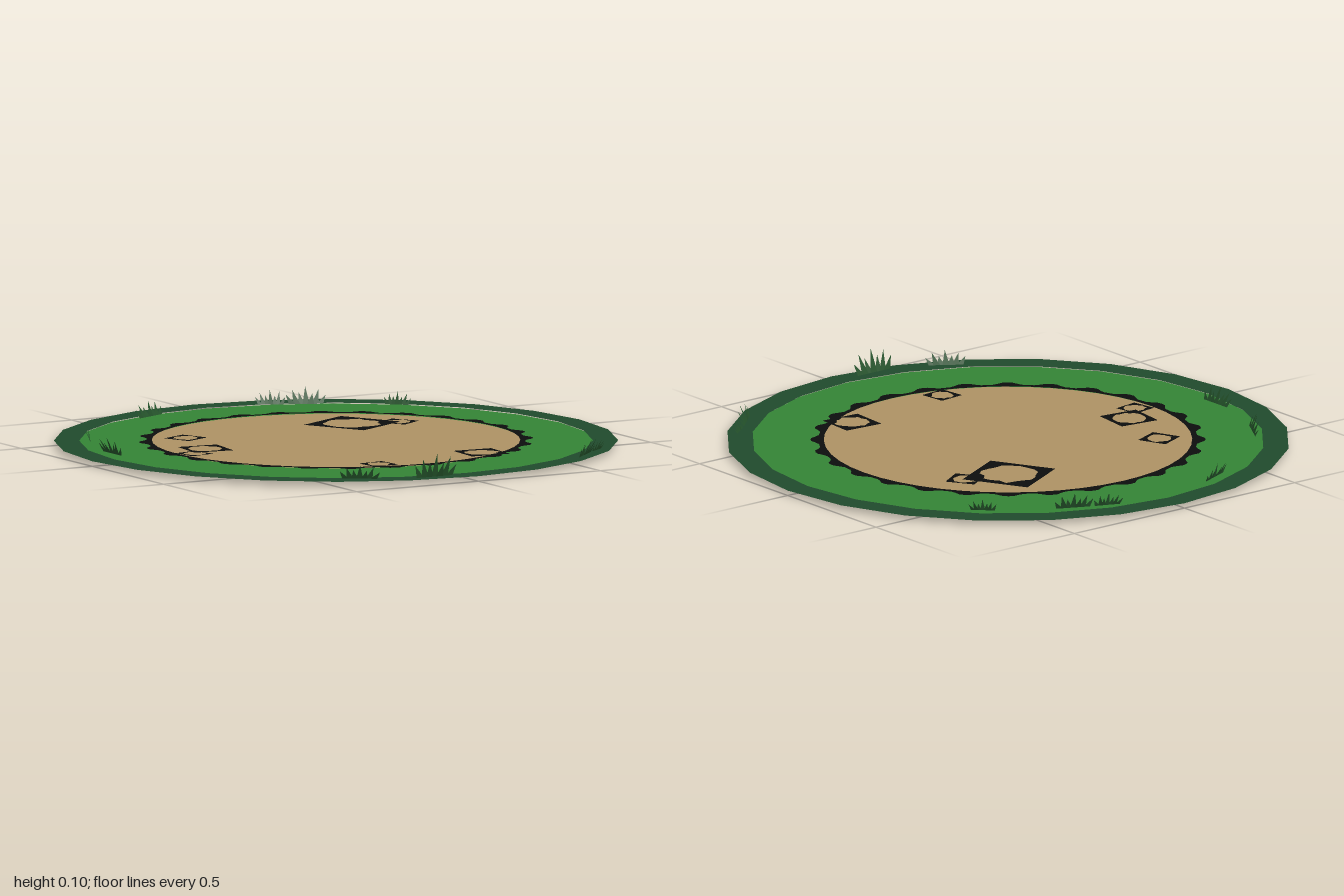
import * as THREE from 'three';

const mat = (name, color) => {
  const m = new THREE.MeshStandardMaterial({ color, side: THREE.DoubleSide });
  m.name = name;
  return m;
};

export function createModel() {
  const group = new THREE.Group();
  const sand = mat('sand', 0xad9164);
  const grass = mat('grass', 0x348435);
  const rim = mat('darkRim', 0x204a2c);
  const black = mat('black', 0x0c0d0d);
  const blade = mat('grassBlade', 0x24522a);

  let seed = 7;
  const rand = () => (seed = (seed * 16807) % 2147483647) / 2147483647;

  const add = (name, geometry, material, x = 0, y = 0, z = 0) => {
    const mesh = new THREE.Mesh(geometry, material);
    mesh.name = name;
    mesh.position.set(x, y, z);
    group.add(mesh);
    return mesh;
  };
  const flat = (geometry) => geometry.rotateX(-Math.PI / 2);
  // closed loop of points whose radius follows a rule
  const loop = (n, radius) => Array.from({ length: n }, (_, i) => {
    const a = (i / n) * Math.PI * 2;
    return new THREE.Vector2(Math.cos(a), Math.sin(a)).multiplyScalar(radius(i));
  });

  // stacked ground layers
  add('groundUnderside', flat(new THREE.CircleGeometry(0.805, 36)), sand);
  add('grassRing', flat(new THREE.RingGeometry(0.64, 0.916, 24)), grass, 0, 0.014);
  add('outerRim', flat(new THREE.RingGeometry(0.91, 1, 24)), rim, 0, 0.018);
  add('sandFloor', flat(new THREE.CircleGeometry(0.66, 48)), sand, 0, 0.016);

  // scalloped border: 28 bumps of 8 points each
  const bump = [0.672, 0.672, 0.682, 0.697, 0.7, 0.697, 0.682, 0.672];
  const border = new THREE.Shape(loop(224, (i) => bump[(i + 4) % 8]));
  border.holes.push(new THREE.Path(loop(48, () => 0.653)));
  add('scallopedBorder', flat(new THREE.ShapeGeometry(border)), black, 0, 0.0195);

  // square ground patches with ragged openings: x, z, size, turn in degrees
  const patches = [
    [0.26, -0.33, 0.25, 28], [0.42, -0.28, 0.108, 32], [-0.43, -0.32, 0.11, 23],
    [-0.5, -0.06, 0.15, -7], [-0.595, 0.022, 0.095, 9],
    [0.297, 0.513, 0.15, -4], [-0.16, 0.573, 0.1, 6],
  ];
  patches.forEach(([x, z, size, turn], k) => {
    const h = size / 2;
    const square = new THREE.Shape([[-h, -h], [h, -h], [h, h], [-h, h]]
      .map(([a, b]) => new THREE.Vector2(a, b)));
    square.holes.push(new THREE.Path(loop(20, () => size * (0.35 + rand() * 0.1))));
    const mesh = add('groundPatch', flat(new THREE.ShapeGeometry(square)), black,
      x, 0.0178 + k * 0.0002, z);
    mesh.rotation.y = THREE.MathUtils.degToRad(turn);
  });

  // grass tufts: start x, z, end x, z, height
  const tufts = [
    [-0.35, -0.79, -0.21, -0.85, 0.055], [0.18, -0.87, 0.28, -0.83, 0.05],
    [0.28, -0.83, 0.41, -0.77, 0.06], [0.58, -0.66, 0.65, -0.59, 0.045],
    [-0.78, -0.39, -0.7, -0.53, 0.06], [-0.85, -0.19, -0.85, -0.04, 0.06],
    [-0.46, 0.81, -0.34, 0.89, 0.05], [-0.23, 0.94, -0.06, 0.94, 0.085],
    [0.52, 0.81, 0.64, 0.7, 0.06], [0.64, 0.7, 0.71, 0.65, 0.038],
  ];
  const heights = [0.55, 0.8, 0.65, 1, 0.6, 0.85, 0.5];
  tufts.forEach(([x0, z0, x1, z1, h]) => {
    const start = new THREE.Vector3(x0, 0.02, z0);
    const along = new THREE.Vector3(x1 - x0, 0, z1 - z0);
    const out = new THREE.Vector3(x0 + x1, 0, z0 + z1).normalize();
    const at = (t, y, lean) => start.clone().addScaledVector(along, t)
      .addScaledVector(out, lean).setY(0.02 + y);
    const points = [];
    heights.forEach((f, i) => {
      const t = (i + 0.5) / heights.length;
      const tip = 0.5 + (t - 0.5) * 1.16;
      points.push(at(0.1 + (t - 0.11) * 0.8, 0, 0), at(0.1 + (t + 0.11) * 0.8, 0, 0),
        at(tip, h * f, h * f * (0.25 + 0.3 * rand())));
    });
    const geometry = new THREE.BufferGeometry().setFromPoints(points);
    geometry.computeVertexNormals();
    add('grassTuft', geometry, blade);
  });

  return group;
}
